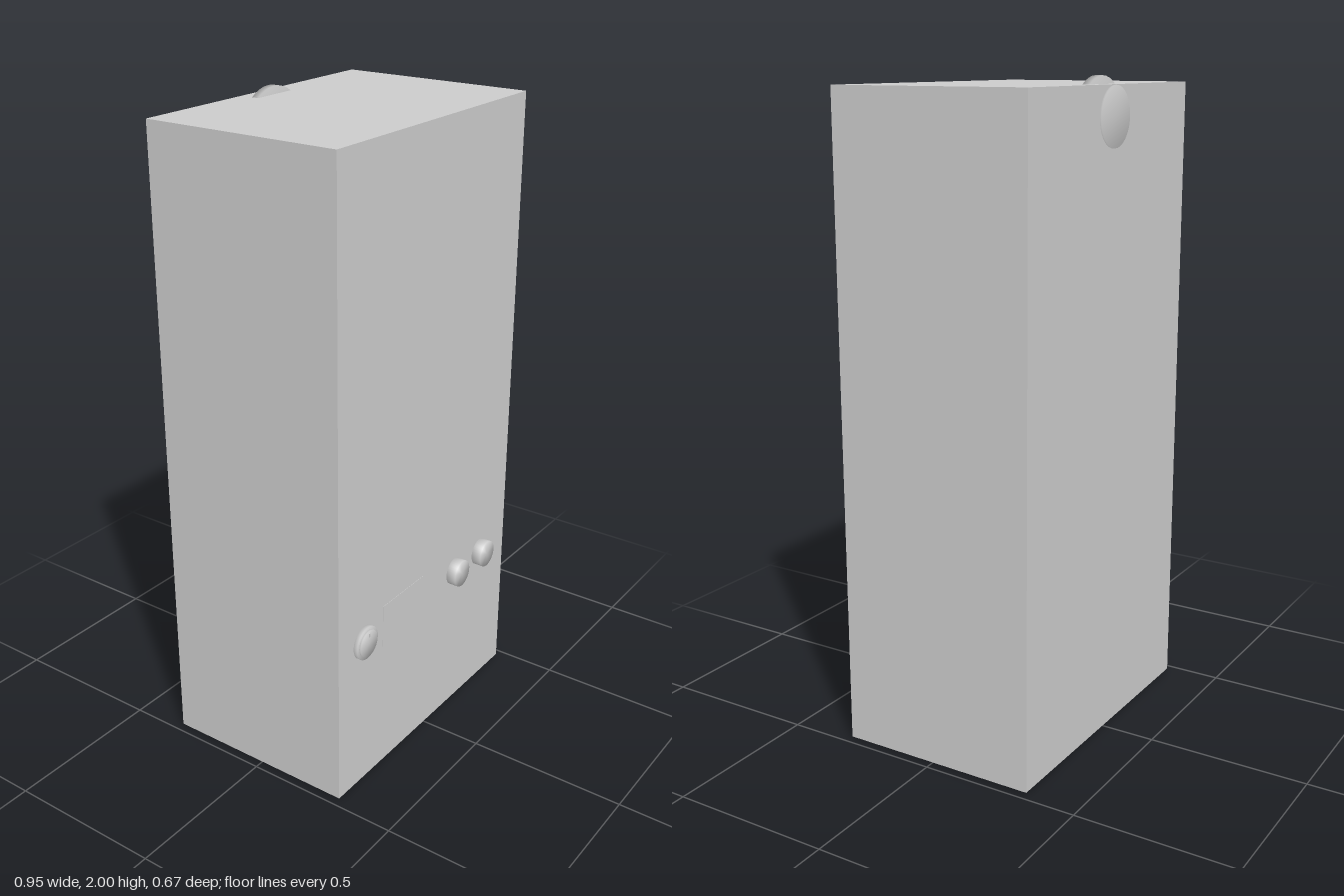
import * as THREE from 'three';
import { mergeVertices } from 'three/addons/utils/BufferGeometryUtils.js';

const material = new THREE.MeshStandardMaterial({ color: 0xcccccc });

// Cylinder along +z or +y with normals blended across its rim for a soft look
function softDisc(name, radius, depth, axis = 'z') {
  let geo = new THREE.CylinderGeometry(radius, radius, depth, 40);
  geo.deleteAttribute('normal');
  geo.deleteAttribute('uv');
  geo = mergeVertices(geo, 1e-5);
  geo.computeVertexNormals();
  if (axis === 'z') geo.rotateX(Math.PI / 2);
  const mesh = new THREE.Mesh(geo, material);
  mesh.name = name;
  return mesh;
}

function box(name, w, h, d, x, y, z) {
  const mesh = new THREE.Mesh(new THREE.BoxGeometry(w, h, d), material);
  mesh.name = name;
  mesh.position.set(x, y, z);
  return mesh;
}

export function createModel() {
  const group = new THREE.Group();
  group.name = 'wallBoiler';

  // Casing
  const floor = 0.003, top = 1.976, front = 0.301, back = -0.33;
  group.add(box('casing', 0.946, top - floor, front - back,
    0, (top + floor) / 2, (front + back) / 2));

  // Two plain control knobs
  const knobY = 0.497;
  for (const x of [0.157, 0.313]) {
    const knob = softDisc('controlKnob', 0.044, 0.04);
    knob.position.set(x, knobY, 0.333 - 0.02);
    group.add(knob);
  }

  // Stepped selector dial with a small pointer mark
  const dial = new THREE.Group();
  dial.name = 'selectorDial';
  dial.position.set(-0.346, knobY, front);
  const base = softDisc('dialBase', 0.053, 0.024);
  base.position.z = 0.001;
  const face = softDisc('dialFace', 0.043, 0.02);
  face.position.z = 0.009;
  dial.add(base, face, box('dialPointer', 0.006, 0.012, 0.006, 0, 0.03, 0.0185));
  group.add(dial);

  // Display panel lying almost flush with the casing
  group.add(box('displayPanel', 0.217, 0.14, 0.01, -0.139, knobY, front - 0.004));

  // Flue disc rising through the top, and round cover on the back
  const flue = softDisc('flueDisc', 0.131, 0.023);
  flue.position.set(0, 2 - 0.131, -0.279);
  const cover = softDisc('backCover', 0.0875, 0.02);
  cover.position.set(0, 1.887, -0.335 + 0.01);
  group.add(flue, cover);

  // Row of pipe connections underneath
  const pipes = [[0.3, 0.025], [0.145, 0.014], [-0.004, 0.027], [-0.152, 0.02], [-0.305, 0.027]];
  for (const [x, radius] of pipes) {
    const pipe = softDisc('pipeConnection', radius, 0.04, 'y');
    pipe.position.set(x, 0.02, -0.13);
    group.add(pipe);
  }

  return group;
}
